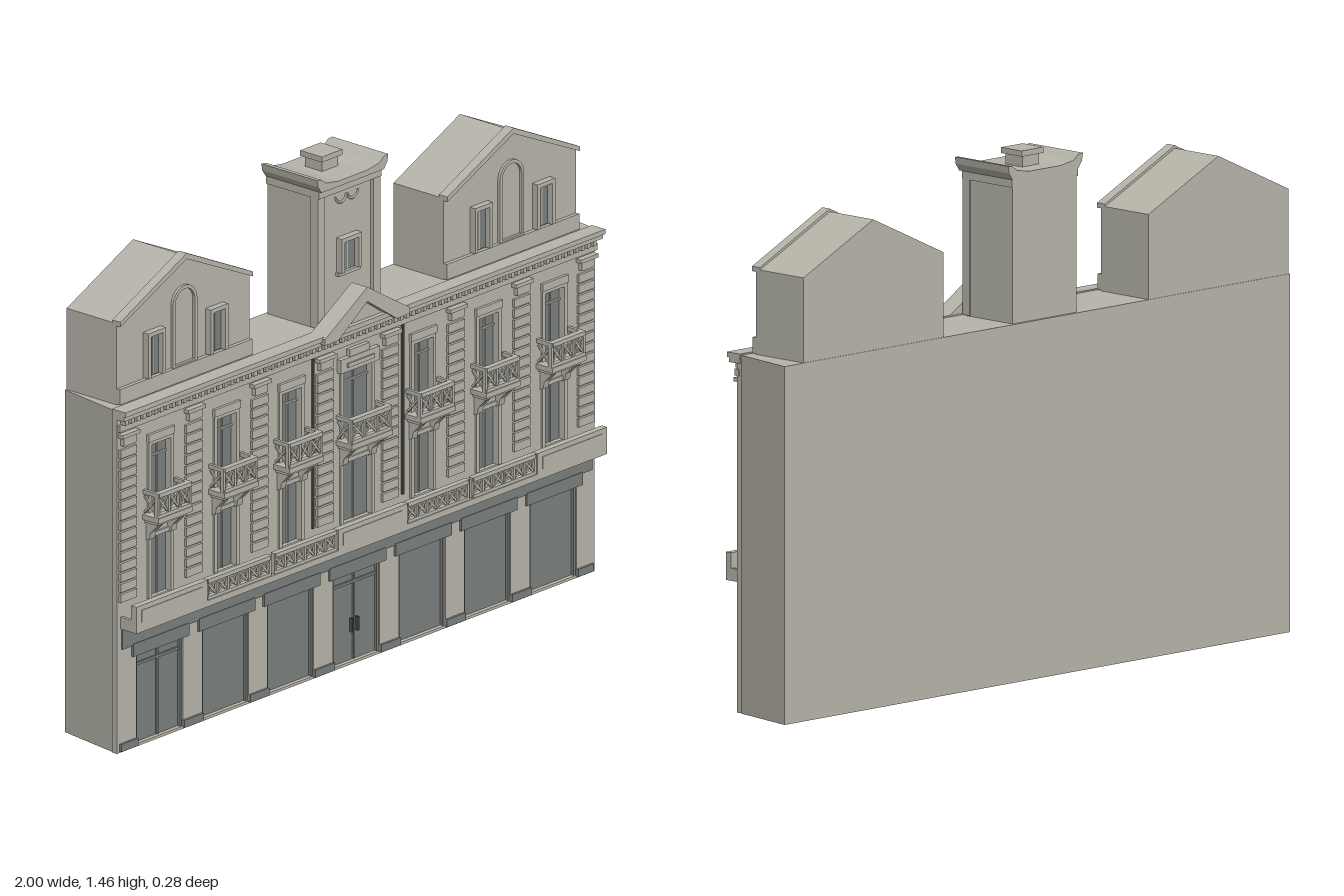
import * as THREE from 'three';

const wall = new THREE.MeshStandardMaterial({ color: 0xb7b5aa, name: 'stone' });
const glass = new THREE.MeshStandardMaterial({ color: 0x7a807e, name: 'grey glass' });
const dark = new THREE.MeshStandardMaterial({ color: 0x4a4c4a, name: 'dark metal' });

const CX = -0.018;                                   // facade axis
const FACE = 0.083;                                  // facade plane
const BAYS = [-0.825, -0.555, -0.288, CX, 0.252, 0.52, 0.79];
const PIERS = [-0.96, -0.69, -0.42, -0.152, 0.116, 0.385, 0.655, 0.92];

function add(parent, name, geo, mat) {
  const m = new THREE.Mesh(geo, mat);
  m.name = name;
  parent.add(m);
  return m;
}

function box(parent, name, mat, x0, x1, y0, y1, z0, z1) {
  const m = add(parent, name, new THREE.BoxGeometry(x1 - x0, y1 - y0, z1 - z0), mat);
  m.position.set((x0 + x1) / 2, (y0 + y1) / 2, (z0 + z1) / 2);
  return m;
}

const poly = pts => new THREE.Shape(pts.map(p => new THREE.Vector2(...p)));
const rect = (x0, x1, y0, y1) => poly([[x0, y0], [x1, y0], [x1, y1], [x0, y1]]);

// Shape in xy extruded from z0 to z1
function slab(parent, name, mat, shape, z0, z1) {
  const geo = new THREE.ExtrudeGeometry(shape, { depth: z1 - z0, bevelEnabled: false, curveSegments: 10 });
  return add(parent, name, geo.translate(0, 0, z0), mat);
}

// Straight bar between two points of the xy plane
function bar(parent, name, a, b, t, z) {
  const m = add(parent, name, new THREE.BoxGeometry(Math.hypot(b[0] - a[0], b[1] - a[1]), t, t), wall);
  m.position.set((a[0] + b[0]) / 2, (a[1] + b[1]) / 2, z);
  m.rotation.z = Math.atan2(b[1] - a[1], b[0] - a[0]);
  return m;
}

// Railing of n crossed panels with rosettes
function railing(parent, x0, x1, y0, y1, z, n) {
  const g = new THREE.Group();
  g.name = 'railing';
  parent.add(g);
  box(g, 'topRail', wall, x0, x1, y1 - 0.012, y1, z - 0.009, z + 0.009);
  box(g, 'bottomRail', wall, x0, x1, y0, y0 + 0.01, z - 0.007, z + 0.007);
  const w = (x1 - x0) / n;
  for (let i = 0; i <= n; i++) {
    const x = x0 + i * w;
    box(g, 'post', wall, x - 0.004, x + 0.004, y0, y1, z - 0.006, z + 0.006);
    if (i === n) break;
    bar(g, 'cross', [x, y0 + 0.008], [x + w, y1 - 0.01], 0.006, z);
    bar(g, 'cross', [x, y1 - 0.01], [x + w, y0 + 0.008], 0.006, z);
    const ring = add(g, 'rosette', new THREE.TorusGeometry(0.011, 0.003, 4, 10), wall);
    ring.position.set(x + w / 2, (y0 + y1) / 2, z);
  }
  return g;
}

// Frame and bars around an opening
function windowFrame(parent, x, hw, y0, y1, z) {
  box(parent, 'mullion', wall, x - 0.002, x + 0.002, y0, y1, z, z + 0.006);
  for (const s of [-1, 1]) {
    const e = x + s * hw;
    box(parent, 'jamb', wall, e - 0.006, e + 0.006, y0, y1 + 0.006, z, z + 0.022);
  }
  box(parent, 'head', wall, x - hw - 0.006, x + hw + 0.006, y1 - 0.004, y1 + 0.008, z, z + 0.022);
}

function balcony(parent, x, hw) {
  const g = new THREE.Group();
  g.name = 'balcony';
  parent.add(g);
  box(g, 'floor', wall, x - hw, x + hw, 0.655, 0.67, FACE, 0.142);
  box(g, 'floorMoulding', wall, x - hw + 0.008, x + hw - 0.008, 0.645, 0.655, FACE, 0.13);
  railing(g, x - hw + 0.004, x + hw - 0.004, 0.67, 0.742, 0.133, 3);
  for (const s of [-1, 1]) {
    // side railing with one cross
    const e = x + s * (hw - 0.006);
    box(g, 'sideRail', wall, e - 0.005, e + 0.005, 0.73, 0.742, FACE, 0.14);
    for (const d of [-1, 1]) {
      const c = box(g, 'sideCross', wall, e - 0.003, e + 0.003, 0.697, 0.703, 0.075, 0.14);
      c.rotation.x = d * 0.85;
    }
    // scrolled bracket, profile in depth and height
    const prof = poly([[0, 0.59], [0.012, 0.595], [0.016, 0.615], [0.045, 0.645], [0, 0.645]]);
    const geo = new THREE.ExtrudeGeometry(prof, { depth: 0.022, bevelEnabled: false });
    const b = add(g, 'bracket', geo, wall);
    b.rotation.y = -Math.PI / 2;
    b.position.set(x + s * (hw - 0.026) + 0.011, 0, FACE);
  }
}

// Gabled roof house
function roofHouse(parent, cx) {
  const g = new THREE.Group();
  g.name = 'roofHouse';
  g.position.x = cx;
  parent.add(g);
  const h = 0.272;
  slab(g, 'houseBody', wall, poly([[-h, 0.99], [h, 0.99], [h, 1.235], [0, 1.362], [-h, 1.235]]), -0.138, 0.046);
  const rake = [[-h, 1.228], [0, 1.353], [h, 1.228], [h, 1.242], [0, 1.37], [-h, 1.242]];
  slab(g, 'gableTrim', wall, poly(rake), 0.03, 0.06);
  box(g, 'skirt', wall, -h, h, 1.0, 1.045, 0.04, 0.058);
  for (const x of [-0.128, 0.128]) {
    box(g, 'pane', glass, x - 0.03, x + 0.03, 1.048, 1.172, 0.044, 0.049);
    windowFrame(g, x, 0.03, 1.048, 1.172, 0.044);
  }
  // raised arch around a blind niche
  const arch = (r, y0) => {
    const s = new THREE.Shape();
    s.moveTo(-r, y0);
    s.lineTo(r, y0);
    s.lineTo(r, 1.225);
    s.absarc(0, 1.225, r, 0, Math.PI, false);
    s.closePath();
    return s;
  };
  const outer = arch(0.05, 1.045);
  outer.holes.push(arch(0.04, 1.05));
  slab(g, 'nicheArch', wall, outer, 0.044, 0.054);
}

function tower(parent) {
  const g = new THREE.Group();
  g.name = 'tower';
  g.position.x = CX;
  parent.add(g);
  box(g, 'shaft', wall, -0.125, 0.125, 0.99, 1.4, -0.132, 0.046);
  for (const s of [-1, 1]) box(g, 'cornerStrip', wall, s * 0.114 - 0.014, s * 0.114 + 0.014, 1.0, 1.385, 0.03, 0.057);
  box(g, 'topStrip', wall, -0.128, 0.128, 1.378, 1.402, -0.134, 0.06);
  box(g, 'pane', glass, -0.035, 0.035, 1.14, 1.232, 0.044, 0.05);
  windowFrame(g, 0, 0.035, 1.14, 1.232, 0.045);
  box(g, 'sill', wall, -0.045, 0.045, 1.13, 1.14, 0.044, 0.06);
  // swag ornament
  for (const x of [-0.024, 0.024]) {
    const t = add(g, 'swag', new THREE.TorusGeometry(0.022, 0.004, 4, 10, Math.PI), wall);
    t.rotation.z = Math.PI;
    t.position.set(x, 1.362, 0.048);
  }
  // cap with upturned ends
  const cap = poly([[-0.128, 1.4], [0.128, 1.4], [0.142, 1.42], [0.145, 1.44], [0.128, 1.438], [0.11, 1.424],
    [0.06, 1.416], [-0.06, 1.416], [-0.11, 1.424], [-0.128, 1.438], [-0.145, 1.44], [-0.142, 1.42]]);
  slab(g, 'cap', wall, cap, -0.136, 0.062);
  slab(g, 'capFrontLip', wall, cap, 0.04, 0.07);
  box(g, 'lanternNeck', wall, -0.032, 0.032, 1.41, 1.45, -0.078, -0.014);
  box(g, 'lanternTop', wall, -0.042, 0.042, 1.447, 1.463, -0.086, -0.006);
}

export function createModel() {
  const root = new THREE.Group();
  root.name = 'townBuilding';

  // Main block with a skewed footprint
  const plan = poly([[-0.997, -0.066], [0.963, -0.066], [1.0, 0.14], [-0.965, 0.14]]);
  const block = new THREE.ExtrudeGeometry(plan, { depth: 0.998, bevelEnabled: false });
  add(root, 'mainBlock', block.rotateX(-Math.PI / 2), wall);

  // Facade skin with openings
  const skin = rect(-1.0, 0.96, 0, 1.0);
  BAYS.forEach((x, i) => {
    const hw = i === 3 ? 0.063 : 0.045;
    skin.holes.push(rect(x - 0.095, x + 0.095, 0.008, 0.3));
    skin.holes.push(rect(x - hw, x + hw, 0.42, 0.6));
    skin.holes.push(rect(x - hw, x + hw, 0.66, 0.87));
  });
  slab(root, 'facade', wall, skin, 0.064, FACE);

  BAYS.forEach((x, i) => {
    const hw = i === 3 ? 0.063 : 0.045;
    // shop front
    box(root, 'shopGlass', glass, x - 0.095, x + 0.095, 0.008, 0.3, 0.064, 0.07);
    box(root, 'shutterBox', glass, x - 0.115, x + 0.115, 0.268, 0.305, 0.07, 0.09);
    for (const s of [-1, 1]) box(root, 'shopJamb', glass, x + s * 0.092 - 0.004, x + s * 0.092 + 0.004, 0.008, 0.27, 0.068, 0.079);
    if (i === 0 || i === 3) {
      box(root, 'doorStile', glass, x - 0.003, x + 0.003, 0.01, 0.268, 0.068, 0.076);
      box(root, 'doorTransom', glass, x - 0.09, x + 0.09, 0.232, 0.24, 0.068, 0.076);
    }
    if (i === 3) for (const s of [-1, 1]) box(root, 'doorHandle', dark, x + s * 0.011 - 0.003, x + s * 0.011 + 0.003, 0.09, 0.13, 0.07, 0.082);
    // upper floors
    for (const [y0, y1] of [[0.42, 0.6], [0.66, 0.87]]) {
      box(root, 'windowGlass', glass, x - hw, x + hw, y0, y1, 0.064, 0.069);
      windowFrame(root, x, hw, y0, y1, 0.067);
    }
    box(root, 'transom', wall, x - hw, x + hw, 0.825, 0.83, 0.068, 0.074);
    box(root, 'lintel', wall, x - hw - 0.008, x + hw + 0.008, 0.876, 0.898, FACE, 0.092);
    balcony(root, x, i === 3 ? 0.084 : 0.07);
  });

  // Sign band and plinths
  box(root, 'signBand', glass, -0.982, 0.945, 0.3, 0.362, 0.07, 0.088);
  const edges = [-0.99, ...BAYS.flatMap(x => [x - 0.095, x + 0.095]), 0.95];
  for (let i = 0; i < edges.length; i += 2) box(root, 'plinth', glass, edges[i], edges[i + 1], 0.004, 0.026, 0.075, 0.09);

  // First-floor gallery: solid panels and railings
  box(root, 'gallerySlab', wall, -0.985, 0.945, 0.36, 0.378, 0.075, 0.142);
  for (const [a, b] of [[-0.985, -0.695], [-0.158, 0.126], [0.66, 0.945]]) {
    box(root, 'galleryPanel', wall, a, b, 0.37, 0.438, 0.122, 0.142);
    box(root, 'panelInset', wall, a + 0.02, b - 0.02, 0.388, 0.424, 0.14, 0.144);
  }
  for (const [a, b] of [[-0.69, -0.432], [-0.412, -0.163], [0.131, 0.38], [0.4, 0.655]]) railing(root, a, b, 0.377, 0.438, 0.132, 6);
  for (const s of [-0.98, 0.94]) box(root, 'galleryEnd', wall, s - 0.005, s + 0.005, 0.37, 0.395, FACE, 0.13);

  // Banded pilasters with capitals
  for (const x of PIERS) {
    for (let y = 0.44; y < 0.87; y += 0.03) box(root, 'pilasterBand', wall, x - 0.033, x + 0.033, y, y + 0.024, 0.08, 0.091);
    box(root, 'capital', wall, x - 0.026, x + 0.026, 0.895, 0.92, 0.08, 0.096);
    box(root, 'capitalTop', wall, x - 0.036, x + 0.036, 0.92, 0.931, 0.08, 0.101);
  }
  for (const x of [-0.2, 0.169]) box(root, 'drainpipe', dark, x - 0.003, x + 0.003, 0.44, 0.97, 0.08, 0.089);

  // Cornice with dentils
  box(root, 'frieze', wall, -0.998, 0.962, 0.938, 0.957, 0.075, 0.092);
  for (let x = -0.985; x < 0.95; x += 0.024) box(root, 'dentil', wall, x, x + 0.013, 0.957, 0.974, 0.08, 0.101);
  box(root, 'cornice', wall, -1.0, 0.966, 0.974, 0.988, 0.07, 0.108);
  box(root, 'corniceTop', wall, -1.0, 0.968, 0.988, 1.002, 0.065, 0.115);

  // Carved panel above the middle window
  box(root, 'crest', wall, CX - 0.08, CX + 0.08, 0.865, 0.905, FACE, 0.098);
  box(root, 'crestTop', wall, CX - 0.04, CX + 0.04, 0.905, 0.925, FACE, 0.096);
  box(root, 'crestBar', wall, CX - 0.055, CX + 0.055, 0.878, 0.89, 0.097, 0.103);

  // Pediment
  slab(root, 'tympanum', wall, poly([[CX - 0.165, 0.985], [CX + 0.165, 0.985], [CX, 1.09]]), 0.066, 0.1);
  const rake = [[CX - 0.174, 0.98], [CX - 0.12, 0.98], [CX, 1.062], [CX + 0.12, 0.98], [CX + 0.174, 0.98],
    [CX + 0.174, 0.998], [CX, 1.104], [CX - 0.174, 0.998]];
  slab(root, 'pedimentRake', wall, poly(rake), 0.066, 0.124);

  roofHouse(root, -0.688);
  roofHouse(root, 0.653);
  tower(root);
  return root;
}
